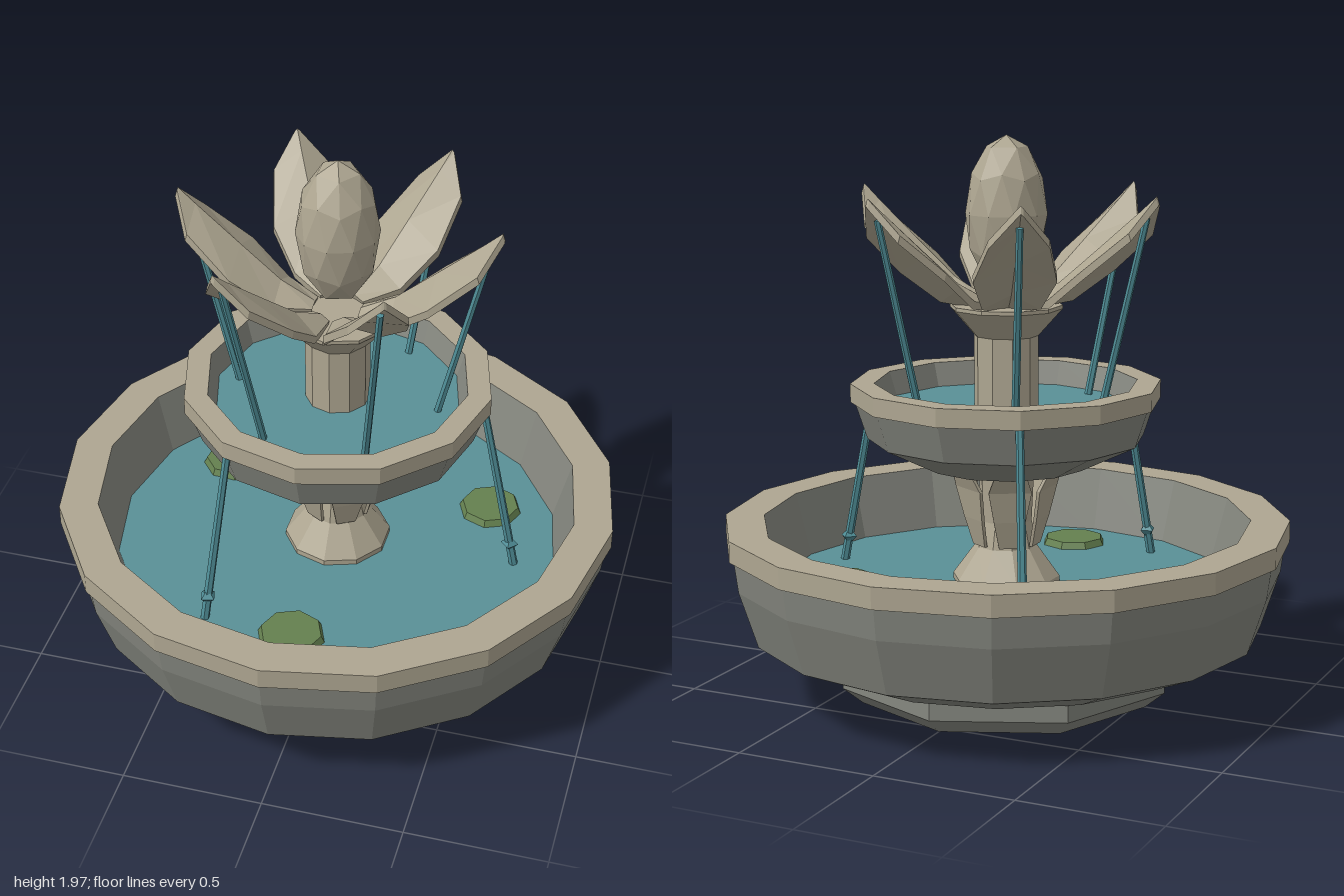
import * as THREE from 'three';

const mat = (name, color) => {
  const m = new THREE.MeshStandardMaterial({ color, flatShading: true });
  m.name = name;
  return m;
};

export function createModel() {
  const root = new THREE.Group();
  root.name = 'fountain';
  const lightStone = mat('light stone', 0xaea691);
  const darkStone = mat('dark stone', 0x85877f);
  const water = mat('pool water', 0x5a9097);
  const streamWater = mat('stream water', 0x4f8d96);
  const lily = mat('lily green', 0x64804f);

  const add = (name, geometry, material, parent = root) => {
    const mesh = new THREE.Mesh(geometry, material);
    mesh.name = name;
    parent.add(mesh);
    return mesh;
  };
  // Faceted turned part from a [radius, height] profile
  const turned = (name, profile, sides, material) =>
    add(name, new THREE.LatheGeometry(profile.map(p => new THREE.Vector2(...p)), sides), material);

  // Creased solid leaf along +x; sections are [radius, ridge height, half width, edge height]
  const leafGeometry = (sections, [dr, dy]) => {
    const pos = [], index = [];
    for (const [r, ridge, w, edge] of sections) {
      pos.push(r, edge, -w, r, ridge, 0, r, edge, w);
      pos.push(r + dr, edge + dy, w, r + dr, ridge + dy, 0, r + dr, edge + dy, -w);
    }
    const quad = (a, b, c, d) => index.push(a, b, c, a, c, d);
    for (let i = 0; i < sections.length - 1; i++)
      for (let j = 0; j < 6; j++) {
        const k = (j + 1) % 6, o = i * 6;
        quad(o + j, o + k, o + 6 + k, o + 6 + j);
      }
    const e = (sections.length - 1) * 6;
    quad(5, 4, 1, 0);
    quad(4, 3, 2, 1);
    quad(e, e + 1, e + 4, e + 5);
    quad(e + 1, e + 2, e + 3, e + 4);
    const g = new THREE.BufferGeometry();
    g.setAttribute('position', new THREE.Float32BufferAttribute(pos, 3));
    g.setIndex(index);
    g.computeVertexNormals();
    return g;
  };

  // Straight jet in the xy plane between two [radius, height] points
  const stream = (name, from, to, radius, parent) => {
    const a = new THREE.Vector3(...from, 0), b = new THREE.Vector3(...to, 0);
    const d = b.clone().sub(a);
    const m = add(name, new THREE.CylinderGeometry(radius, radius * 0.85, d.length(), 6), streamWater, parent);
    m.position.copy(a).add(b).multiplyScalar(0.5);
    m.quaternion.setFromUnitVectors(new THREE.Vector3(0, 1, 0), d.normalize());
  };

  // Octagonal foot
  turned('foot', [[0, 0], [0.535, 0], [0.607, 0.06], [0.607, 0.12], [0.57, 0.165], [0, 0.165]], 8, darkStone);

  // Large basin
  turned('basinBody', [[0, 0.16], [0.72, 0.16], [0.905, 0.24], [0.97, 0.44], [0.985, 0.55]], 16, darkStone);
  turned('basinRim', [[0.98, 0.55], [1, 0.55], [1, 0.625], [0.862, 0.625]], 16, lightStone);
  turned('basinInnerWall', [[0.862, 0.625], [0.795, 0.38]], 16, darkStone);
  turned('basinWater', [[0.802, 0.4], [0, 0.4]], 16, water);

  // Lily pads
  for (const [x, z, r, turn] of [[-0.49, -0.3, 0.115, 0.3], [0.51, -0.28, 0.115, 0.8], [-0.01, 0.58, 0.12, 0]]) {
    const pad = add('lilyPad', new THREE.CylinderGeometry(r * 0.9, r, 0.025, 8), lily);
    pad.position.set(x, 0.412, z);
    pad.rotation.y = turn;
  }

  // Pedestal between the basins
  turned('pedestal', [[0.19, 0.36], [0.19, 0.42], [0.11, 0.53], [0.09, 0.62], [0.1, 0.83]], 10, lightStone);
  const pedestalLeaf = leafGeometry([
    [0.105, 0.54, 0.035, 0.54], [0.13, 0.64, 0.055, 0.64], [0.152, 0.75, 0.075, 0.75], [0.185, 0.83, 0.05, 0.83],
  ], [0.012, 0]);

  // Upper basin
  turned('upperBasinBody', [[0, 0.82], [0.285, 0.82], [0.487, 0.92], [0.53, 1.05]], 12, darkStone);
  turned('upperBasinRim', [[0.525, 1.05], [0.545, 1.05], [0.545, 1.115], [0.462, 1.115]], 12, lightStone);
  turned('upperBasinInnerWall', [[0.462, 1.115], [0.428, 1.01]], 12, darkStone);
  turned('upperBasinWater', [[0.436, 1.03], [0, 1.03]], 12, water);

  // Upper column with flared capital
  turned('column', [[0.113, 1], [0.113, 1.28], [0.197, 1.375], [0.197, 1.388], [0, 1.388]], 10, lightStone);

  // Flower petals, their jets and the pedestal leaves
  const petal = leafGeometry([
    [0.08, 1.41, 0.04, 1.4], [0.2, 1.475, 0.1, 1.425], [0.34, 1.595, 0.14, 1.535],
    [0.495, 1.73, 0.1, 1.668], [0.555, 1.785, 0.008, 1.778],
  ], [0.008, -0.026]);
  for (let i = 0; i < 6; i++) {
    const spoke = new THREE.Group();
    spoke.name = 'flowerSpoke';
    spoke.rotation.y = i * Math.PI / 3;
    root.add(spoke);
    add('petal', petal, lightStone, spoke);
    add('pedestalLeaf', pedestalLeaf, lightStone, spoke);
    stream('petalStream', [0.52, 1.71], [0.358, 1.03], 0.014, spoke);
    // Every second spoke also spills from the upper basin
    if (i % 2 === 0) {
      stream('basinStream', [0.525, 1.05], [0.655, 0.4], 0.016, spoke);
      const drop = add('splash', new THREE.OctahedronGeometry(0.032), streamWater, spoke);
      drop.position.set(0.637, 0.49, 0);
    }
  }

  // Bud with a vertex at its top
  const bud = new THREE.IcosahedronGeometry(1, 1);
  bud.rotateZ(-Math.atan(2 / (1 + Math.sqrt(5))));
  bud.scale(0.143, 0.27, 0.143);
  add('bud', bud, lightStone).position.y = 1.703;

  return root;
}
